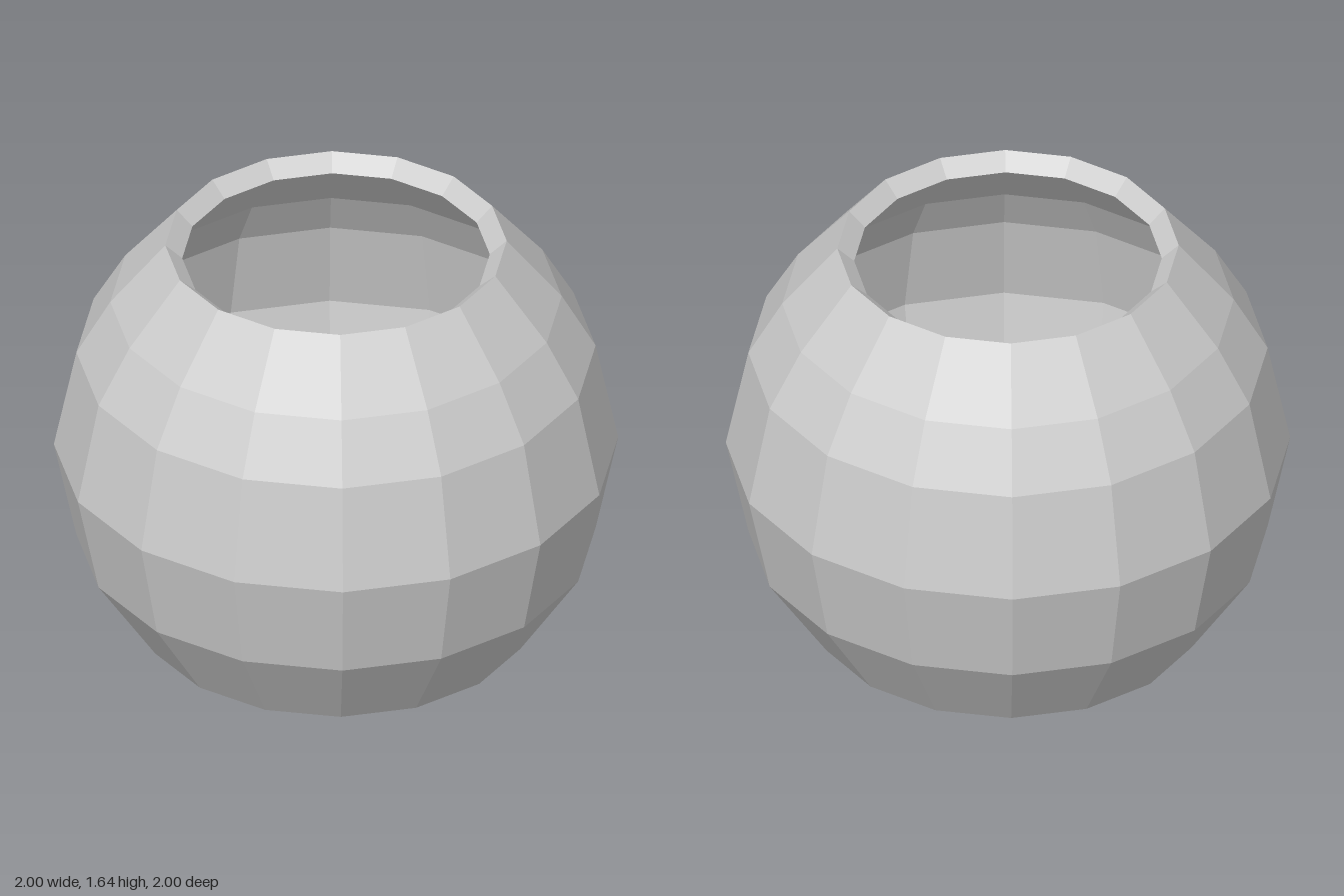
import * as THREE from 'three';

const SIDES = 16;

// Faceted surface of revolution from [radius, height] pairs
function turned(name, profile, material) {
  const points = profile.map(([r, y]) => new THREE.Vector2(r, y));
  const mesh = new THREE.Mesh(new THREE.LatheGeometry(points, SIDES), material);
  mesh.name = name;
  return mesh;
}

export function createModel() {
  const group = new THREE.Group();
  group.name = 'roundBowl';
  const material = new THREE.MeshStandardMaterial({ color: 0xcccccc, flatShading: true });

  // Outer wall, from the centre of the base up to the mouth
  const outer = [
    [0, 0], [0.36, 0.01], [0.70, 0.10], [0.92, 0.435], [1, 0.815],
    [0.92, 1.20], [0.80, 1.41], [0.605, 1.645],
  ];
  // Inner wall, from the mouth down to the centre of the floor
  const inner = [
    [0.545, 1.59], [0.735, 1.365], [0.845, 1.17], [0.92, 0.815],
    [0.85, 0.465], [0.655, 0.175], [0.35, 0.09], [0, 0.08],
  ];

  group.add(turned('outerWall', outer, material));
  // Rim sloping inwards between the two walls
  group.add(turned('rim', [outer[outer.length - 1], inner[0]], material));
  group.add(turned('innerWall', inner, material));
  return group;
}
